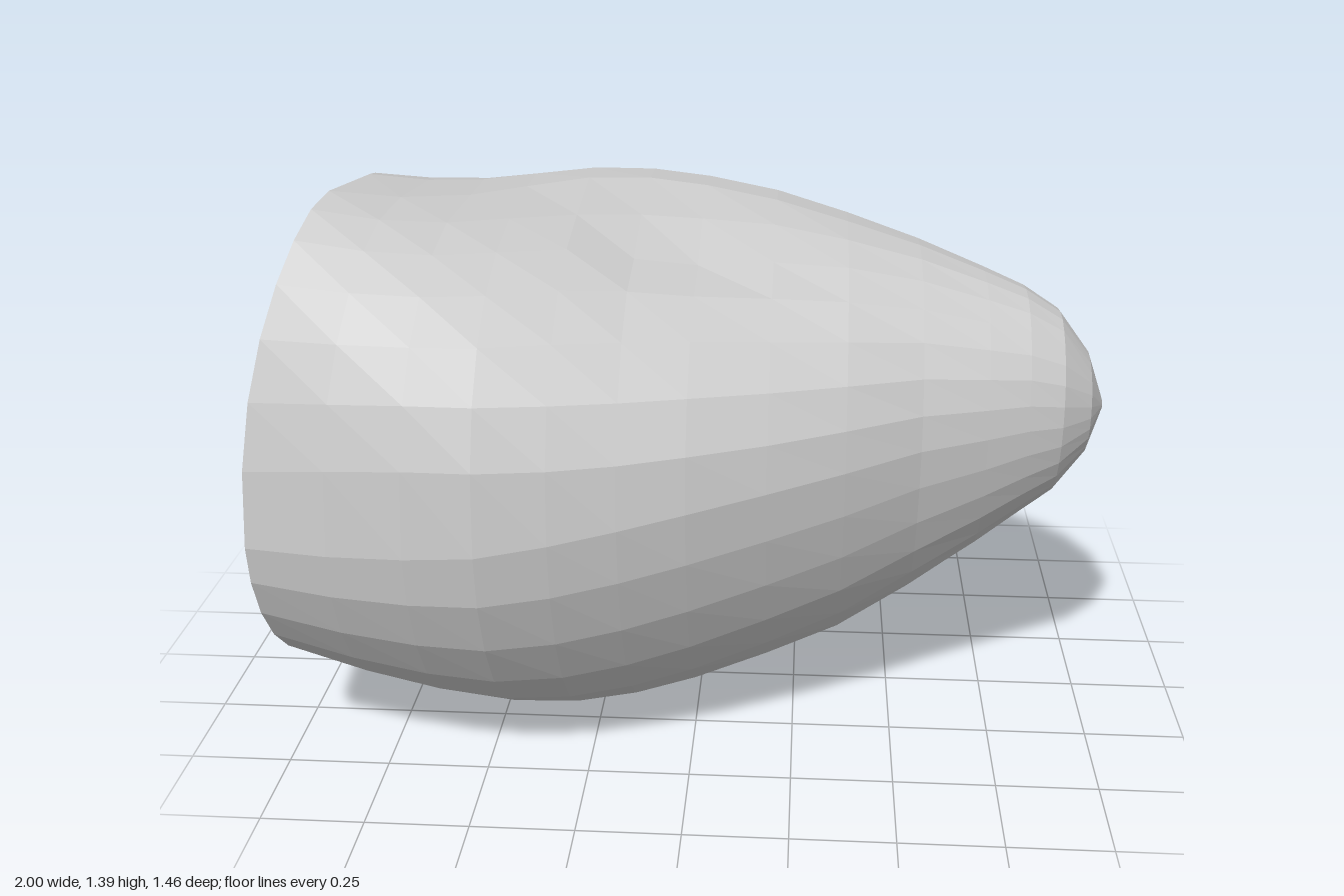
import * as THREE from 'three';

// Cross-sections along x:
// x, bottom, top, back z, front z, widest y in front, ridge z, keel z, front shoulder fullness
const SECTIONS = [
  [-1.00, 0.17, 1.39, -0.53, 0.65, 0.66, 0.24, 0.10, 2.2],
  [-0.80, 0.10, 1.36, -0.60, 0.70, 0.67, 0.17, 0.08, 2.45],
  [-0.62, 0.045, 1.338, -0.66, 0.725, 0.68, 0.05, 0.06, 2.6],
  [-0.46, 0.01, 1.33, -0.70, 0.73, 0.69, -0.08, 0.04, 2.55],
  [-0.30, 0.00, 1.33, -0.725, 0.70, 0.71, -0.18, 0.03, 2.35],
  [-0.15, 0.02, 1.32, -0.73, 0.655, 0.73, -0.23, 0.03, 2.2],
  [0.00, 0.06, 1.305, -0.715, 0.60, 0.75, -0.22, 0.03, 2.1],
  [0.18, 0.125, 1.28, -0.66, 0.52, 0.77, -0.18, 0.03, 2],
  [0.36, 0.20, 1.24, -0.575, 0.435, 0.79, -0.13, 0.03, 2],
  [0.54, 0.32, 1.195, -0.46, 0.34, 0.81, -0.08, 0.03, 2],
  [0.70, 0.445, 1.145, -0.35, 0.28, 0.82, -0.03, 0.03, 2],
  [0.80, 0.53, 1.11, -0.28, 0.245, 0.83, 0.0, 0.03, 2],
  [0.885, 0.60, 1.06, -0.21, 0.215, 0.83, 0.02, 0.03, 2],
  [0.96, 0.70, 0.96, -0.11, 0.15, 0.83, 0.025, 0.03, 2],
  [1.00, 0.815, 0.845, 0.01, 0.06, 0.83, 0.035, 0.035, 2],
];
const SIDES = 28;
const bell = (t) => Math.exp(-t * t);

// One point of a section, built from four rounded quarters
function sectionPoint([x, bottom, top, back, front, frontY, ridge, keel, shoulder], angle) {
  const c = Math.cos(angle), s = Math.sin(angle);
  const upper = s >= 0, inFront = c > 0;
  const backFullness = 2.4 - 0.4 * THREE.MathUtils.smoothstep(x, 0.2, 0.9);
  const bellyFullness = 1.83 + 0.17 * THREE.MathUtils.smoothstep(x, 0.4, 0.9);
  const fullness = upper ? (inFront ? shoulder : backFullness) : bellyFullness;
  const centreZ = upper ? ridge : keel;
  const midY = inFront ? frontY : 0.81;
  const along = Math.pow(Math.abs(c), 2 / fullness);
  const up = Math.pow(Math.abs(s), 2 / fullness);
  const z = centreZ + along * ((inFront ? front : back) - centreZ);
  let y = midY + up * ((upper ? top : bottom) - midY);
  // shallow hollow on the upper front
  if (upper) y -= 0.055 * bell((x + 0.05) / 0.27) * bell((z - 0.13) / 0.17);
  // the rim leans back towards its top, most of all just behind the peak
  const rimFade = THREE.MathUtils.clamp((-0.4 - x) / 0.6, 0, 1);
  const height = Math.max(0, (y - 0.6) / 0.79);
  const lean = (0.135 + 0.06 * bell((z + 0.03) / 0.2)) * Math.pow(height, 2.2) * rimFade;
  return [x + lean, y, z];
}

// Open shell lofted through the sections
function loftShell() {
  const positions = [], index = [];
  for (const section of SECTIONS)
    for (let j = 0; j < SIDES; j++)
      positions.push(...sectionPoint(section, (j / SIDES) * Math.PI * 2));
  for (let i = 0; i < SECTIONS.length - 1; i++)
    for (let j = 0; j < SIDES; j++) {
      const a = i * SIDES + j, b = i * SIDES + ((j + 1) % SIDES);
      index.push(a, a + SIDES, b, b, a + SIDES, b + SIDES);
    }
  const geometry = new THREE.BufferGeometry();
  geometry.setAttribute('position', new THREE.Float32BufferAttribute(positions, 3));
  geometry.setIndex(index);
  geometry.computeVertexNormals();
  return geometry;
}

export function createModel() {
  const group = new THREE.Group();
  group.name = 'hollowShell';
  const material = new THREE.MeshStandardMaterial({
    color: 0xcccccc, flatShading: true, side: THREE.DoubleSide,
  });
  const shell = new THREE.Mesh(loftShell(), material);
  shell.name = 'shell';
  group.add(shell);
  return group;
}
